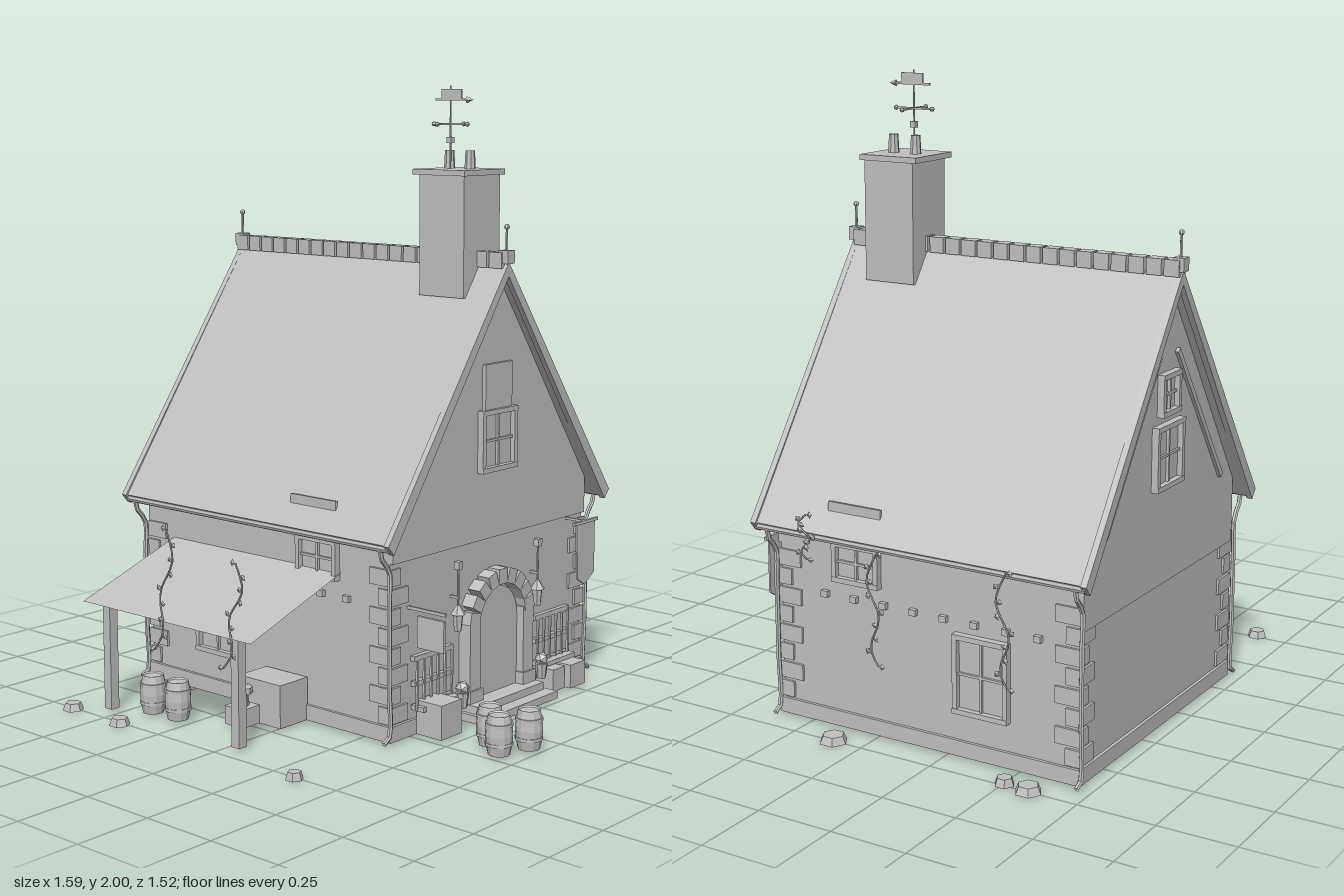
import * as THREE from 'three';

export function createModel() {
  const root = new THREE.Group();
  root.name = 'cottage';
  const clay = new THREE.MeshStandardMaterial({ color: 0xc0c0c0, side: THREE.DoubleSide, flatShading: true });
  clay.name = 'clay grey';
  const CX = 0.15, FRONT = 0.36, BACK = -0.7;

  const add = (name, geo, x = 0, y = 0, z = 0, parent = root) => {
    const m = new THREE.Mesh(geo, clay);
    m.name = name;
    m.position.set(x, y, z);
    parent.add(m);
    return m;
  };
  // box from its limits
  const box = (name, x0, x1, y0, y1, z0, z1, parent) =>
    add(name, new THREE.BoxGeometry(x1 - x0, y1 - y0, z1 - z0), (x0 + x1) / 2, (y0 + y1) / 2, (z0 + z1) / 2, parent);
  const cyl = (name, r0, r1, h, x, y, z, n = 8, parent = root) =>
    add(name, new THREE.CylinderGeometry(r0, r1, h, n), x, y, z, parent);
  const extrude = (name, pts, z0, z1) => {
    const s = new THREE.Shape(pts.map(p => new THREE.Vector2(...p)));
    return add(name, new THREE.ExtrudeGeometry(s, { depth: z1 - z0, bevelEnabled: false }), 0, 0, z0);
  };
  // bar between two points
  const bar = (name, a, b, w, d = w) => {
    const A = new THREE.Vector3(...a), B = new THREE.Vector3(...b);
    const m = add(name, new THREE.BoxGeometry(w, A.distanceTo(B), d));
    m.position.copy(A).add(B).multiplyScalar(0.5);
    m.quaternion.setFromUnitVectors(new THREE.Vector3(0, 1, 0), B.sub(A).normalize());
    return m;
  };
  const tube = (name, pts, r, seg = 12) =>
    add(name, new THREE.TubeGeometry(new THREE.CatmullRomCurve3(pts.map(p => new THREE.Vector3(...p))), seg, r, 6));

  // walls and gables
  extrude('walls', [[-0.35, 0.01], [0.65, 0.01], [0.65, 0.7], [CX, 1.42], [-0.35, 0.7]], BACK, FRONT);
  box('plinth', -0.36, 0.66, 0.01, 0.06, BACK - 0.01, FRONT + 0.01);
  extrude('backGable', [[-0.35, 0.48], [0.65, 0.48], [0.65, 0.7], [CX, 1.42], [-0.35, 0.7]], BACK - 0.012, BACK);
  extrude('frontGable', [[-0.35, 0.57], [0.65, 0.57], [0.65, 0.7], [CX, 1.42], [-0.35, 0.7]], FRONT, FRONT + 0.012);

  // roof, bargeboards and eaves
  const chevron = (t, w) => [[CX - w, 0.645], [CX, 1.455], [CX + w, 0.645], [CX + w - 0.025, 0.645 - t], [CX, 1.455 - t * 1.5], [CX - w + 0.025, 0.645 - t]];
  extrude('roof', chevron(0.02, 0.57), -0.74, 0.4);
  for (const z of [-0.76, 0.4]) extrude('bargeboard', chevron(0.03, 0.577), z, z + 0.02);
  for (const s of [-1, 1]) {
    const x = CX + s * 0.558;
    const gutter = cyl('gutter', 0.012, 0.012, 1.16, x, 0.632, -0.17, 8);
    gutter.rotation.x = Math.PI / 2;
    box('snowGuard', CX + s * 0.52 - 0.004, CX + s * 0.52 + 0.004, 0.71, 0.74, -0.03, 0.16);
    for (const z of [0.37, -0.715])
      tube('downpipe', [[x, 0.625, z], [x - s * 0.005, 0.6, z], [CX + s * 0.515, 0.55, z], [CX + s * 0.515, 0.45, z], [CX + s * 0.515, 0.2, z], [CX + s * 0.515, 0.03, z], [CX + s * 0.54, 0.015, z]], 0.008, 20);
    bar('gableBeam', [CX + s * 0.39, 0.73, BACK - 0.016], [CX + s * 0.06, 1.2, BACK - 0.016], 0.018, 0.014);
  }
  for (let i = 0; i < 20; i++)
    box('ridgeTile', CX - 0.022, CX + 0.022, 1.435, 1.485, -0.755 + i * 0.0585, -0.705 + i * 0.0585);
  for (const z of [0.41, -0.75]) {
    box('finialBase', CX - 0.018, CX + 0.018, 1.45, 1.492, z - 0.018, z + 0.018);
    cyl('finialPole', 0.004, 0.005, 0.08, CX, 1.52, z, 6);
    add('finialBall', new THREE.SphereGeometry(0.009, 8, 6), CX, 1.565, z);
  }

  // chimney
  box('chimney', 0.06, 0.243, 1.34, 1.725, 0.13, 0.31);
  box('chimneyCap', 0.048, 0.255, 1.722, 1.74, 0.11, 0.32);
  for (const z of [0.175, 0.258]) cyl('chimneyPot', 0.015, 0.018, 0.06, 0.155, 1.768, z);

  // weathervane
  const vx = 0.14, vz = 0.19;
  cyl('vanePole', 0.003, 0.003, 0.26, vx, 1.87, vz, 6);
  box('vaneHub', vx - 0.009, vx + 0.009, 1.82, 1.84, vz - 0.009, vz + 0.009);
  box('vaneArm', vx - 0.065, vx + 0.065, 1.877, 1.883, vz - 0.003, vz + 0.003);
  box('vaneArm', vx - 0.003, vx + 0.003, 1.877, 1.883, vz - 0.065, vz + 0.065);
  for (const s of [-1, 1]) {
    add('vaneKnob', new THREE.SphereGeometry(0.008, 6, 4), vx + s * 0.067, 1.88, vz);
    add('vaneKnob', new THREE.SphereGeometry(0.008, 6, 4), vx, 1.88, vz + s * 0.067);
  }
  box('vaneFlag', vx - 0.003, vx + 0.003, 1.96, 1.99, 0.155, 0.235);
  box('vaneArrow', vx - 0.003, vx + 0.003, 1.953, 1.96, 0.13, 0.26);
  const tip = add('vaneTip', new THREE.ConeGeometry(0.011, 0.025, 4), vx, 1.956, 0.268);
  tip.rotation.x = Math.PI / 2;

  // framed windows, built facing +z and turned to their wall
  const windowAt = (x, y, z, w, h, turn) => {
    const g = new THREE.Group();
    g.name = 'window';
    const f = 0.016;
    for (const s of [-1, 1]) {
      box('windowJamb', s * (w - f) / 2 - f / 2, s * (w - f) / 2 + f / 2, -h / 2, h / 2, 0, 0.022, g);
      box('windowRail', -w / 2, w / 2, s * (h - f) / 2 - f / 2, s * (h - f) / 2 + f / 2, 0, 0.024, g);
    }
    box('windowPane', -w / 2 + f, w / 2 - f, -h / 2 + f, h / 2 - f, 0, 0.005, g);
    box('windowBar', -0.004, 0.004, -h / 2 + f, h / 2 - f, 0, 0.014, g);
    box('windowBar', -w / 2 + f, w / 2 - f, -0.004, 0.004, 0, 0.013, g);
    g.position.set(x, y, z);
    g.rotation.y = turn;
    root.add(g);
  };
  windowAt(CX, 0.89, FRONT + 0.012, 0.18, 0.2, 0);
  box('gablePanel', 0.082, 0.22, 0.99, 1.135, FRONT, FRONT + 0.025);
  windowAt(CX, 0.89, BACK - 0.012, 0.18, 0.2, Math.PI);
  windowAt(CX, 1.08, BACK - 0.012, 0.12, 0.13, Math.PI);
  for (const s of [-1, 1]) {
    windowAt(CX + s * 0.5, 0.275, -0.375, 0.19, 0.25, s * Math.PI / 2);
    windowAt(CX + s * 0.5, 0.55, 0.07, 0.17, 0.13, s * Math.PI / 2);
    // small corbel stones and corner stones
    for (let i = 0; i < 8; i++) {
      const z = 0.19 - i * 0.108, x = CX + s * 0.505;
      box('corbel', x - 0.01, x + 0.01, 0.425, 0.445, z - 0.012, z + 0.012);
    }
    for (const [z, t] of [[FRONT, -1], [BACK, 1]])
      for (let i = 0; i < 8; i++) {
        const lx = i % 2 ? 0.05 : 0.085, lz = i % 2 ? 0.085 : 0.05;
        const q = add('cornerStone', new THREE.BoxGeometry(lx, 0.052, lz));
        q.position.set(CX + s * (0.508 - lx / 2), 0.092 + i * 0.062, z - t * 0.008 + t * lz / 2);
      }
  }

  // doorway
  box('lowerStep', -0.04, 0.345, 0.01, 0.035, FRONT, 0.49);
  box('upperStep', -0.025, 0.33, 0.035, 0.06, FRONT, 0.445);
  const doorPts = [[0.045, 0.06], [0.265, 0.06]];
  for (let i = 0; i <= 10; i++) doorPts.push([CX + 0.005 + 0.11 * Math.cos(i * Math.PI / 10), 0.3 + 0.11 * Math.sin(i * Math.PI / 10)]);
  extrude('door', doorPts, FRONT, FRONT + 0.02);
  for (const s of [-1, 1]) {
    const x = CX + 0.005 + s * 0.14;
    box('doorJamb', x - 0.027, x + 0.027, 0.06, 0.32, FRONT, FRONT + 0.045);
    box('jambFoot', x - 0.034, x + 0.034, 0.06, 0.1, FRONT, FRONT + 0.052);
  }
  for (let i = 0; i < 9; i++) {
    const a = (12 + i * 19.5) * Math.PI / 180;
    const v = add('archStone', new THREE.BoxGeometry(0.05, 0.042, 0.05), CX + 0.005 + 0.145 * Math.cos(a), 0.3 + 0.145 * Math.sin(a), FRONT + 0.022);
    v.rotation.z = a;
  }

  // lanterns, potted plants and slatted benches on both sides of the door
  for (const s of [-1, 1]) {
    const x = CX + 0.003 + s * 0.21, z = FRONT + 0.03;
    cyl('lanternPole', 0.004, 0.004, 0.16, x, 0.44, z, 6);
    box('lanternBracket', x - 0.004, x + 0.004, 0.41, 0.418, FRONT, z);
    box('lanternTop', x - 0.01, x + 0.01, 0.505, 0.53, z - 0.01, z + 0.01);
    cyl('lanternRoof', 0.006, 0.026, 0.03, x, 0.375, z, 6);
    cyl('lanternBody', 0.018, 0.012, 0.055, x, 0.333, z, 6);
    cyl('flowerPot', 0.022, 0.015, 0.05, x, 0.085, FRONT + 0.05, 8);
    add('plant', new THREE.IcosahedronGeometry(0.024, 0), x, 0.125, FRONT + 0.05);
    const bx = CX + 0.003 + s * 0.313;
    for (const y of [0.1, 0.175, 0.255]) bar('benchRail', [bx - 0.095, y, 0.375 - y * 0.02], [bx + 0.095, y, 0.375 - y * 0.02], 0.016);
    for (let i = 0; i < 6; i++) {
      const sx = bx - 0.085 + i * 0.034;
      bar('benchSlat', [sx - 0.006, 0.09, 0.385], [sx + 0.008, 0.26, 0.375], 0.007);
    }
    box('benchSeat', bx - 0.09, bx + 0.09, 0.09, 0.105, FRONT, 0.41);
  }
  box('crate', -0.235, -0.135, 0.01, 0.12, 0.37, 0.47);
  box('crate', 0.39, 0.455, 0.01, 0.085, 0.37, 0.44);
  box('crate', 0.46, 0.545, 0.01, 0.09, 0.37, 0.46);

  // hanging board and pennant
  box('boardBracket', -0.269, -0.261, 0.415, 0.425, FRONT, 0.51);
  box('hangingBoard', -0.27, -0.26, 0.3, 0.4, 0.4, 0.505);
  extrude('pennant', [[0.51, 0.56], [0.615, 0.56], [0.615, 0.38], [0.562, 0.345], [0.52, 0.37]], 0.435, 0.441);
  box('pennantPole', 0.495, 0.63, 0.556, 0.566, 0.434, 0.444);
  box('pennantBracket', 0.558, 0.566, 0.557, 0.565, FRONT, 0.44);

  // lean-to roof and posts
  const leanTo = add('leanToRoof', new THREE.PlaneGeometry(Math.hypot(0.4, 0.14), 0.75).rotateX(-Math.PI / 2), -0.55, 0.44, -0.215);
  leanTo.rotation.z = Math.atan2(0.14, 0.4);
  for (const z of [-0.54, 0.04]) box('leanToPost', -0.698, -0.665, 0.01, 0.38, z - 0.016, z + 0.016);

  // store beneath the lean-to
  box('woodStack', -0.48, -0.355, 0.01, 0.15, -0.16, 0.02);
  box('woodBlock', -0.555, -0.48, 0.01, 0.07, -0.15, -0.07);
  cyl('stoolSeat', 0.032, 0.032, 0.02, -0.515, 0.12, -0.11, 8);
  cyl('stoolLeg', 0.018, 0.022, 0.045, -0.515, 0.09, -0.11, 6);

  // barrels
  const stave = [[0, 0], [0.034, 0], [0.041, 0.035], [0.043, 0.062], [0.041, 0.09], [0.034, 0.125], [0.03, 0.12], [0, 0.12]].map(p => new THREE.Vector2(...p));
  for (const [x, z] of [[-0.16, 0.6], [-0.213, 0.675], [-0.112, 0.712], [-0.62, -0.41], [-0.615, -0.3]]) {
    add('barrel', new THREE.LatheGeometry(stave, 12), x, 0.01, z);
    for (const y of [0.04, 0.1]) cyl('barrelHoop', 0.0435, 0.0435, 0.01, x, y + 0.005, z, 12);
  }

  // hanging vines: a thin stem with paired leaves
  for (const [x, z, y0, y1, bow] of [[0.735, -0.05, 0.28, 0.62, -0.01], [0.735, -0.5, 0.3, 0.64, -0.01], [0.73, 0.21, 0.57, 0.7, 0],
    [-0.75, -0.22, 0.28, 0.66, 0.015], [-0.75, 0.08, 0.28, 0.6, 0.015]]) {
    const s = Math.sign(x), pts = [];
    for (let i = 0; i <= 8; i++) {
      const t = i / 8;
      pts.push([x + s * (0.015 - 0.03 * t) - s * bow * Math.sin(t * 3), y0 + (y1 - y0) * t, z + 0.02 * Math.sin(i * 1.3) - 0.04 * (1 - t) + 0.02]);
    }
    tube('vineStem', pts, 0.003, 16);
    pts.forEach(([px, py, pz], i) => {
      const leaf = add('vineLeaf', new THREE.OctahedronGeometry(0.012), px, py, pz + (i % 2 ? 0.012 : -0.012));
      leaf.scale.set(0.4, 0.8, 1);
      leaf.rotation.x = i;
    });
  }

  // stepping stones
  for (const [x, z, r] of [[-0.76, -0.64, 0.034], [-0.765, -0.41, 0.034], [-0.76, 0.345, 0.028], [0.75, -0.59, 0.043], [0.742, -0.505, 0.032], [0.752, 0.1, 0.046]])
    cyl('steppingStone', r * 0.75, r, 0.024, x, 0.014, z, 6);

  return root;
}
